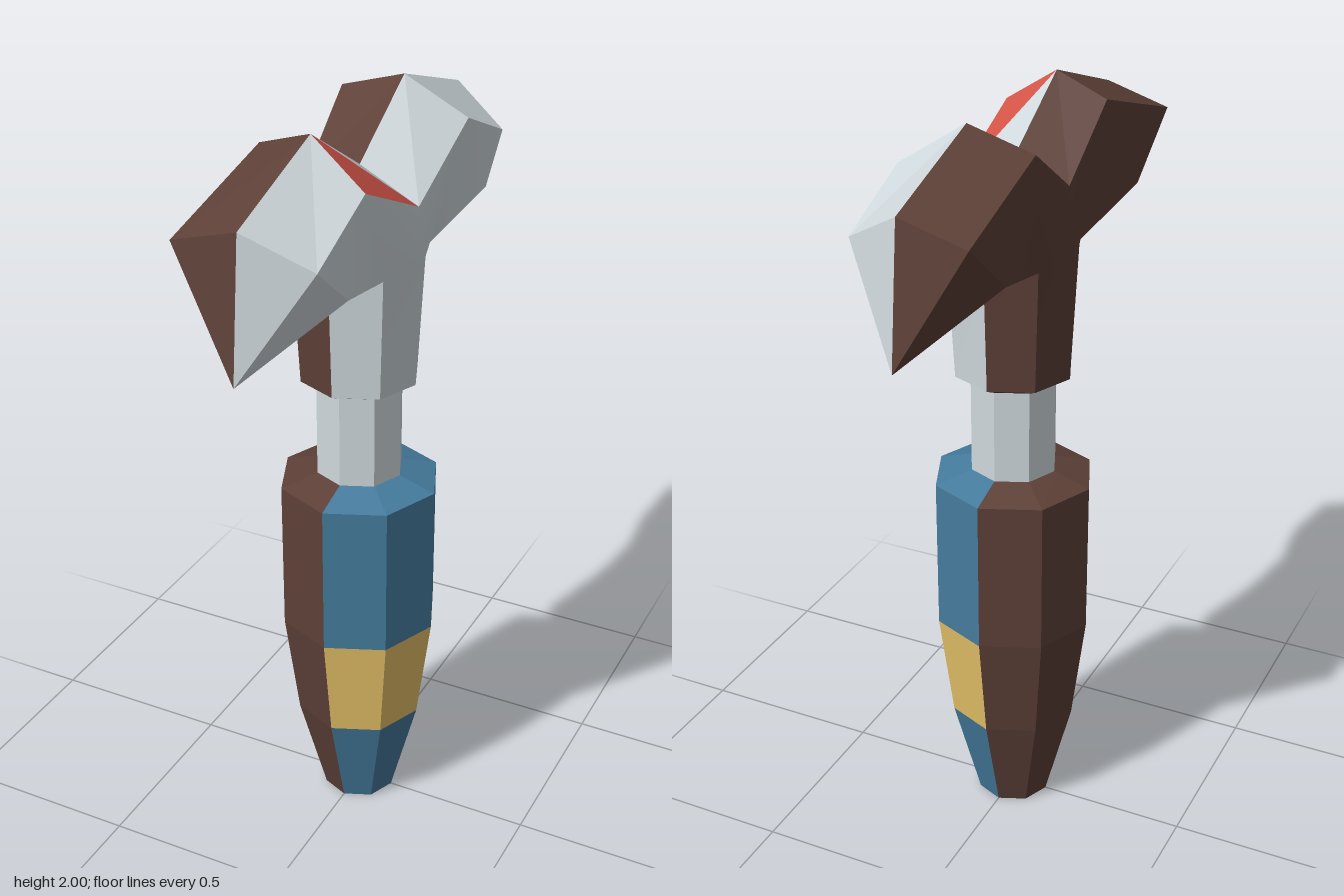
import * as THREE from 'three';
import { mergeVertices } from 'three/addons/utils/BufferGeometryUtils.js';

const mat = (name, color) => {
  const m = new THREE.MeshStandardMaterial({ color });
  m.name = name;
  return m;
};

export function createModel() {
  const grey = mat('pale steel', 0xcfd8dc);
  const brown = mat('dark brown', 0x5d4037);
  const blue = mat('blue', 0x457b9d);
  const yellow = mat('yellow', 0xe9c46a);
  const red = mat('red', 0xd65548);
  const model = new THREE.Group();

  const add = (name, geometry, material) => {
    const mesh = new THREE.Mesh(geometry, material);
    mesh.name = name;
    model.add(mesh);
  };

  // Faceted octagonal half ring; side +1 is the +x half
  const halfRing = (name, side, y0, r0, y1, r1, material) => {
    const start = side > 0 ? 0 : Math.PI;
    const g = new THREE.CylinderGeometry(r1, r0, y1 - y0, 4, 1, true, start, Math.PI).toNonIndexed();
    g.computeVertexNormals();
    g.translate(0, (y0 + y1) / 2, 0);
    add(name, g, material);
  };

  // Handle, neck and collar: y0, r0, y1, r1, colour on +x, colour on -x
  const rings = [
    ['handleTip', 0, 0.1, 0.29, 0.175, blue, brown],
    ['handleBand', 0.29, 0.175, 0.585, 0.213, yellow, brown],
    ['handleGrip', 0.585, 0.213, 1, 0.213, blue, brown],
    ['handleShoulder', 1, 0.213, 1.03, 0.115, blue, brown],
    ['neck', 1.03, 0.115, 1.28, 0.115, grey, grey],
    ['headCollar', 1.28, 0.115, 1.3, 0.155, grey, brown],
  ];
  for (const [name, y0, r0, y1, r1, plus, minus] of rings) {
    halfRing(name, 1, y0, r0, y1, r1, plus);
    halfRing(name, -1, y0, r0, y1, r1, minus);
  }
  const base = new THREE.CircleGeometry(0.1, 8);
  base.rotateX(Math.PI / 2);
  add('handleBase', base, brown);

  // Polygons (fans of named points) to a triangle soup, flipped when mirrored
  const soup = (points, faces, flip) => {
    const out = [];
    for (const face of faces) {
      const p = [...face].map((k) => points[k]);
      for (let i = 1; i < p.length - 1; i++) {
        out.push(...p[0], ...(flip ? p[i + 1] : p[i]), ...(flip ? p[i] : p[i + 1]));
      }
    }
    return out;
  };
  const toGeometry = (positions, smooth) => {
    let g = new THREE.BufferGeometry();
    g.setAttribute('position', new THREE.Float32BufferAttribute(positions, 3));
    if (smooth) g = mergeVertices(g);
    g.computeVertexNormals();
    return g;
  };

  // Head: four quarters, each one arm half plus its part of the shank
  for (const s of [1, -1]) {
    const material = s > 0 ? grey : brown;
    const cheek = [], shell = [];
    for (const k of [1, -1]) {
      // Upper outline points: valley, peak and end
      const upper = s > 0
        ? { V: [0.155, 1.77, 0], P: [0.155, 1.9, 0.285], E: [0.155, 1.8, 0.515] }
        : {
          V: [0.145, 1.8, 0],
          P: k > 0 ? [0.145, 1.95, 0.22] : [0.17, 1.95, 0.245],
          E: [0.17, 1.84, 0.575],
        };
      const points = {
        ...upper,
        L: [0.165, 1.69, 0.39], O: [0, 1.69, 0.39], T: [0, 1.54, 0.618],
        a: [0, 1.85, 0], b: [0, 2, 0.245], c: [0, 1.89, 0.58], // ridge
        S: [0.122, 1.62, 0.122], B: [0.11, 1.3, 0.11], // shank corner
        D: [0.167, 1.62, 0], C: [0.155, 1.3, 0], // shank side
        F: [0, 1.62, 0.168], G: [0, 1.3, 0.155], // shank front
      };
      for (const key in points) {
        const [x, y, z] = points[key];
        points[key] = [x * s, y, z * k];
      }
      const flip = s * k < 0;
      cheek.push(...soup(points, ['PEL', 'PLS', 'PSD', 'PDV', 'DSBC'], flip));
      shell.push(...soup(points, ['abV', 'bcEP', 'cTE', 'ETL', 'TOL', 'OFSL', 'FGBS'], flip));
      // One painted facet on the front arm
      const accent = soup(points, ['bPV'], flip);
      if (s > 0 && k > 0) add('redFacet', toGeometry(accent, false), red);
      else shell.push(...accent);
    }
    add('headCheek', toGeometry(cheek, true), material);
    add('headArms', toGeometry(shell, false), material);
  }
  return model;
}
